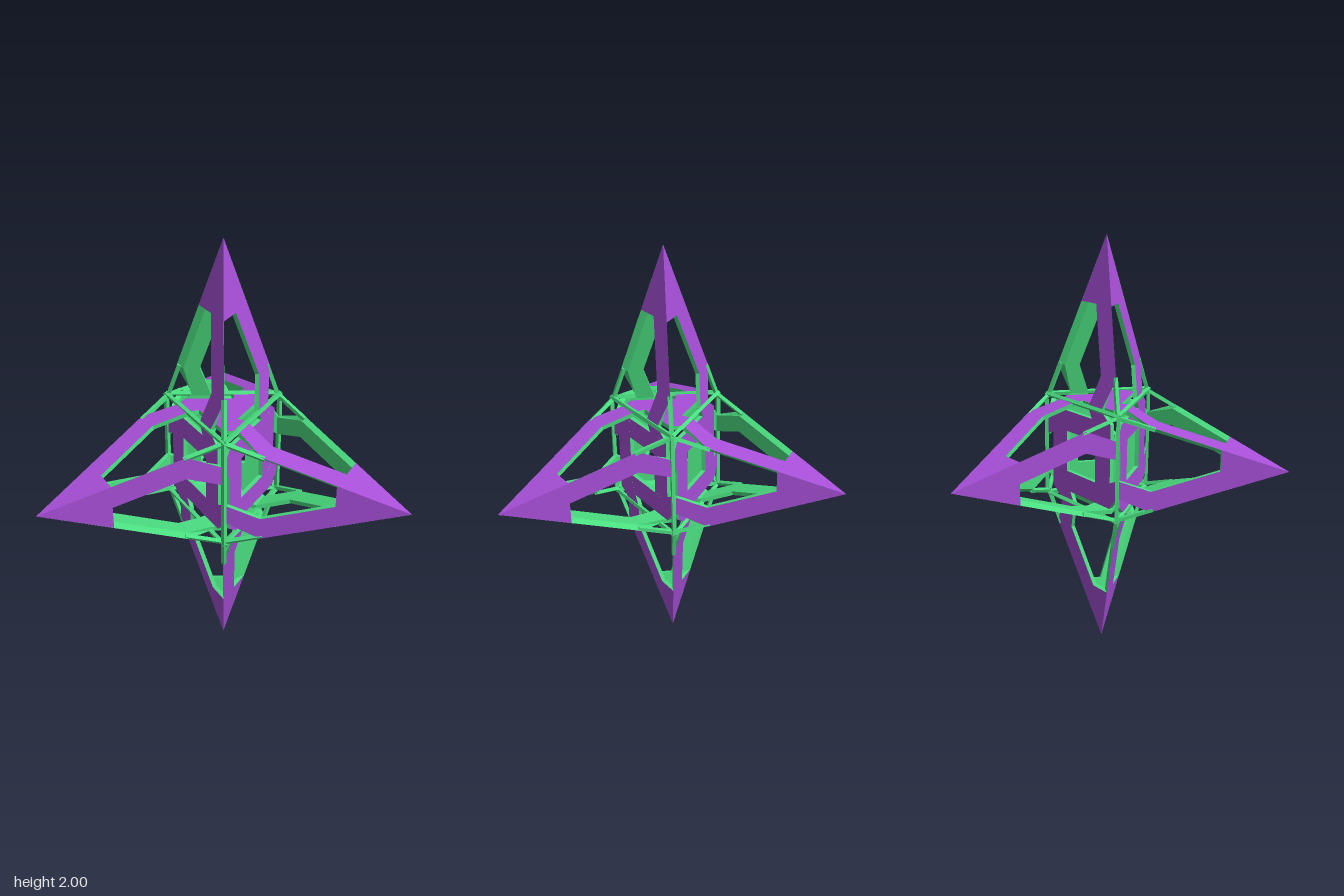
import * as THREE from 'three';

const V = (x, y, z) => new THREE.Vector3(x, y, z);
const outerMat = new THREE.MeshStandardMaterial({ color: 0xa74fd8, flatShading: true });
const innerMat = new THREE.MeshStandardMaterial({ color: 0x4ade80, flatShading: true });
const THICK = 0.02;
const AXIS_Z = 0.215;

function mesh(points, material, name) {
  const geo = new THREE.BufferGeometry().setFromPoints(points);
  geo.computeVertexNormals();
  const m = new THREE.Mesh(geo, material);
  m.name = name;
  return m;
}

// Folded sheet: coloured outer face, green back and side walls.
// Points are [lateral, down, backLateralShift, backDownShift] in the face frame.
function sheet(points, origin, down, normal, name) {
  const side = down.clone().cross(normal);
  const flat = points.map(([u, v]) => new THREE.Vector2(u, v));
  if (THREE.ShapeUtils.isClockWise(flat)) { flat.reverse(); points = [...points].reverse(); }
  const place = (u, v, w) => origin.clone().addScaledVector(side, u).addScaledVector(down, v).addScaledVector(normal, w);
  const front = points.map(([u, v]) => place(u, v, 0));
  const back = points.map(([u, v, du = 0, dv = 0]) => place(u + du, v + dv, -THICK));
  const outer = [], inner = [];
  for (const [a, b, c] of THREE.ShapeUtils.triangulateShape(flat, [])) {
    outer.push(front[a], front[b], front[c]);
    inner.push(back[a], back[c], back[b]);
  }
  front.forEach((p, i) => {
    const j = (i + 1) % front.length;
    inner.push(p, back[i], back[j], p, back[j], front[j]);
  });
  const g = new THREE.Group();
  g.name = name;
  g.add(mesh(outer, outerMat, name + 'Outside'), mesh(inner, innerMat, name + 'Lining'));
  return g;
}

// Thin bar between two points
function rail(a, b, name) {
  const dir = b.clone().sub(a);
  const m = new THREE.Mesh(new THREE.CylinderGeometry(0.012, 0.012, dir.length(), 4), innerMat);
  m.position.copy(a).add(b).multiplyScalar(0.5);
  m.quaternion.setFromUnitVectors(V(0, 1, 0), dir.normalize());
  m.name = name;
  return m;
}

export function createModel() {
  const model = new THREE.Group();
  model.name = 'interlockedStar';

  // Corners of the triangular prism core: 0-2 top, 3-5 bottom
  const corners = [];
  for (const y of [1.25, 0.75])
    for (let i = 0; i < 3; i++) {
      const a = (i * 2 * Math.PI) / 3;
      corners.push(V(0.288 * Math.sin(a), y, AXIS_Z + 0.288 * Math.cos(a)));
    }

  // One spike over every core face
  const spikes = [
    { name: 'topSpike', tip: V(0, 2, AXIS_Z), ids: [0, 1, 2] },
    { name: 'bottomSpike', tip: V(0, 0, AXIS_Z), ids: [3, 4, 5] },
    { name: 'leftSpike', tip: V(0.75, 1, 0.645), ids: [0, 1, 4, 3] },
    { name: 'backSpike', tip: V(0, 1, -0.645), ids: [1, 2, 5, 4] },
    { name: 'rightSpike', tip: V(-0.75, 1, 0.645), ids: [2, 0, 3, 5] },
  ];
  for (const s of spikes) {
    s.center = s.ids.reduce((sum, id) => sum.add(corners[id]), V(0, 0, 0)).divideScalar(s.ids.length);
    s.axis = s.tip.clone().sub(s.center).normalize();
  }

  // Tabs lying on the core faces, entering from one edge
  const squareTab = [[-0.05, 0], [-0.1, 0.1], [-0.1, 0.45], [-0.2, 0.45], [-0.2, 0.05], [-0.135, 0]];
  const triangleTab = [[-0.05, 0], [-0.042, 0.08], [0.052, 0.243], [0, 0.333], [-0.163, 0.05], [-0.135, 0]];

  for (const s of spikes) {
    const group = new THREE.Group();
    group.name = s.name;
    model.add(group);
    const n = s.ids.length;
    const mitre = THICK * (n === 3 ? 1.5 : 0.9);
    s.ids.forEach((id, i) => {
      const id2 = s.ids[(i + 1) % n];
      const a = corners[id], b = corners[id2];
      const mid = a.clone().add(b).multiplyScalar(0.5);
      const down = mid.clone().sub(s.tip);
      const L = down.length();
      down.normalize();
      const normal = b.clone().sub(a).normalize().cross(down);
      if (normal.dot(mid.clone().sub(s.center)) < 0) normal.negate();

      // Spike face: solid tip, then a single arm along one ridge
      group.add(sheet([
        [0, 0, 0, (mitre * L) / 0.25],
        [0.1, 0.4 * L, -mitre],
        [0, 0.4 * L],
        [-0.1, 0.8 * L],
        [-0.05, L],
        [-0.135, L],
        [-0.2, 0.8 * L, mitre],
      ], s.tip, down, normal, 'spikeArm'));

      // The arm folds over the valley onto the neighbouring core face
      const next = spikes.find((o) => o !== s && o.ids.includes(id) && o.ids.includes(id2));
      const inward = next.center.clone().sub(mid).normalize();
      group.add(sheet(next.ids.length === 3 ? triangleTab : squareTab, mid, inward, next.axis, 'coreTab'));

      // Thin bars finishing the ridge and, once per edge, the valley
      const ridge = rail(s.tip.clone().lerp(a, 0.79), a, 'ridgeBar');
      ridge.position.addScaledVector(s.center.clone().sub(a).normalize(), 0.012);
      group.add(ridge);
      if (spikes.indexOf(s) < spikes.indexOf(next)) group.add(rail(a, b, 'valleyBar'));
    });
  }
  return model;
}
